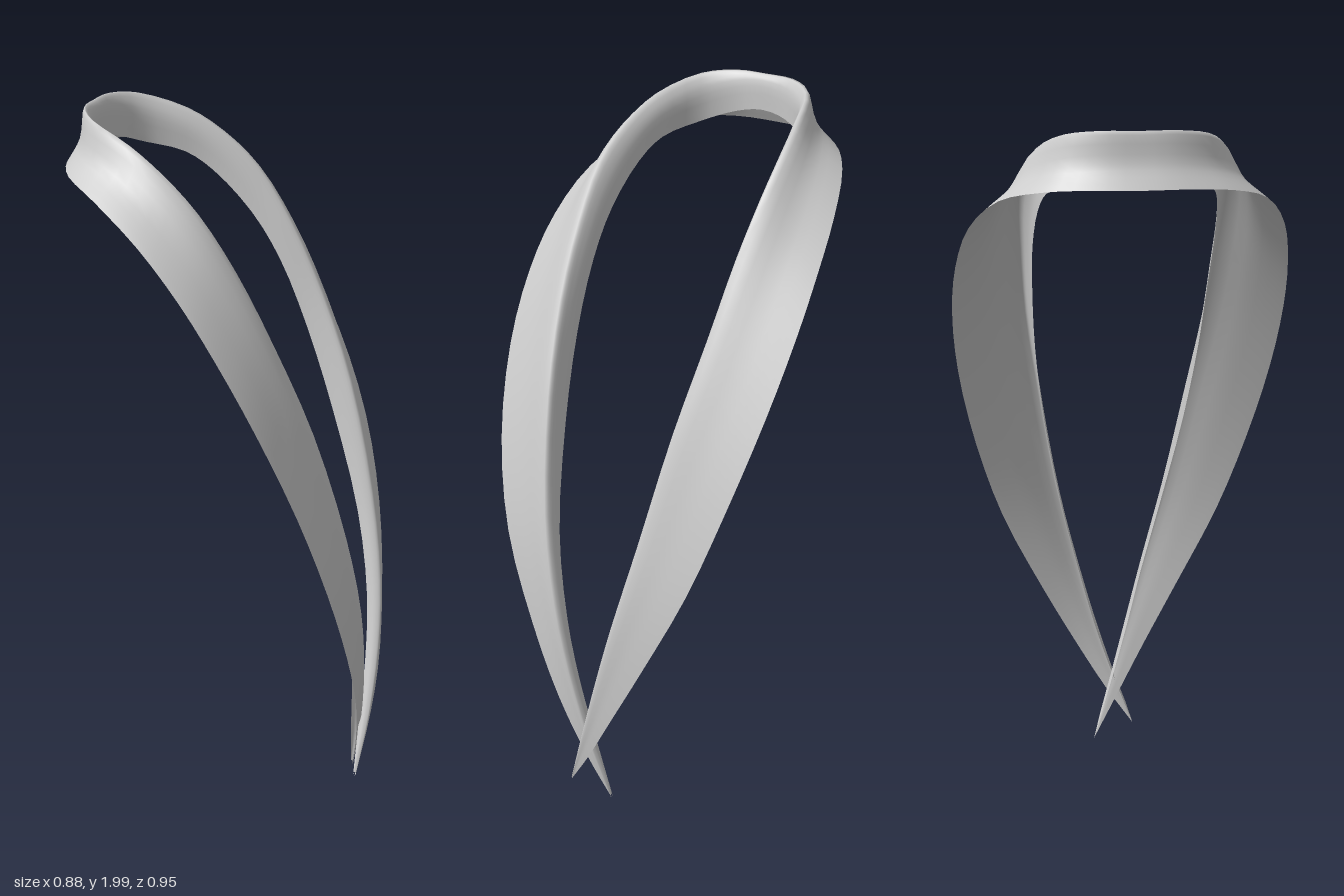
import * as THREE from 'three';

// Half of the collar, from the back of the neck down to one lapel tip
const FOLD = [
  [-0.387, 1.99, 0], [-0.377, 1.99, 0.1], [-0.325, 1.977, 0.187], [-0.2, 1.93, 0.25],
  [-0.1, 1.865, 0.275], [0, 1.77, 0.287], [0.1, 1.62, 0.28], [0.2, 1.42, 0.264],
  [0.3, 1.17, 0.226], [0.385, 0.85, 0.171], [0.42, 0.6, 0.112], [0.422, 0.4, 0.06],
  [0.405, 0.2, 0.005], [0.374, 0.01, -0.05]];
const OUTER = [
  [-0.435, 1.845, 0], [-0.42, 1.845, 0.13], [-0.37, 1.835, 0.25], [-0.26, 1.8, 0.355],
  [-0.12, 1.71, 0.43], [0, 1.585, 0.465], [0.1, 1.44, 0.475], [0.205, 1.245, 0.46],
  [0.305, 1.0, 0.41], [0.372, 0.75, 0.33], [0.405, 0.5, 0.212], [0.412, 0.3, 0.11],
  [0.395, 0.13, 0.02], [0.37, 0, -0.053]];
const INNER = [
  [-0.37, 1.89, 0], [-0.362, 1.875, 0.09], [-0.305, 1.84, 0.182], [-0.2, 1.81, 0.225],
  [-0.12, 1.755, 0.243], [-0.01, 1.64, 0.252], [0.075, 1.51, 0.249], [0.16, 1.32, 0.238],
  [0.25, 1.08, 0.208], [0.345, 0.79, 0.153], [0.383, 0.55, 0.096], [0.385, 0.36, 0.05],
  [0.375, 0.18, 0], [0.366, 0.005, -0.052]];

// Joins both halves into one rail; the right lapel laps over the left at the tips
function rail(half) {
  const n = half.length;
  const left = half.map((p) => new THREE.Vector3(...p));
  const right = half.slice(1).map(([x, y, z], i) => {
    const t = Math.max(0, (i + 1 - (n - 5)) / 4);
    return new THREE.Vector3(x + 0.035 * t, y + 0.035 * t * t, -z + 0.02 * t * t);
  });
  return new THREE.CatmullRomCurve3([...right.reverse(), ...left], false, 'centripetal');
}

// Skins a list of rows of points with a smooth surface
function skin(rows, material, name) {
  const cols = rows[0].length;
  const index = [];
  for (let i = 0; i < rows.length - 1; i++) {
    for (let j = 0; j < cols - 1; j++) {
      const a = i * cols + j, b = a + cols;
      index.push(a, b, a + 1, b, b + 1, a + 1);
    }
  }
  const geometry = new THREE.BufferGeometry().setFromPoints(rows.flat());
  geometry.setIndex(index);
  geometry.computeVertexNormals();
  const mesh = new THREE.Mesh(geometry, material);
  mesh.name = name;
  return mesh;
}

export function createModel() {
  const group = new THREE.Group();
  group.name = 'shawlCollar';
  const material = new THREE.MeshStandardMaterial({ color: 0xcccccc, side: THREE.DoubleSide });
  const [fold, outer, inner] = [FOLD, OUTER, INNER].map(rail);

  const STEPS = 78;
  const rows = [];
  for (let i = 0; i <= STEPS; i++) {
    const t = i / STEPS;
    const f = fold.getPoint(t), o = outer.getPoint(t), n = inner.getPoint(t);
    const neck = Math.max(0, 1 - Math.abs(t - 0.5) * 4);
    // Hollow below the fold, strongest at the back of the neck
    const mid = f.clone().lerp(o, 0.5).lerp(n, 0.3 * neck);
    // Rounded rim where the fall rolls over and tucks into the inner stand
    const rim = f.clone().lerp(n, 0.4);
    const away = rim.clone().sub(mid).normalize();
    rim.addScaledVector(away, 0.007 + 0.018 * neck);
    const section = new THREE.CatmullRomCurve3([o, mid, f, rim, n], false, 'centripetal');
    rows.push(section.getPoints(16));
  }
  group.add(skin(rows, material, 'foldedCollar'));
  return group;
}
